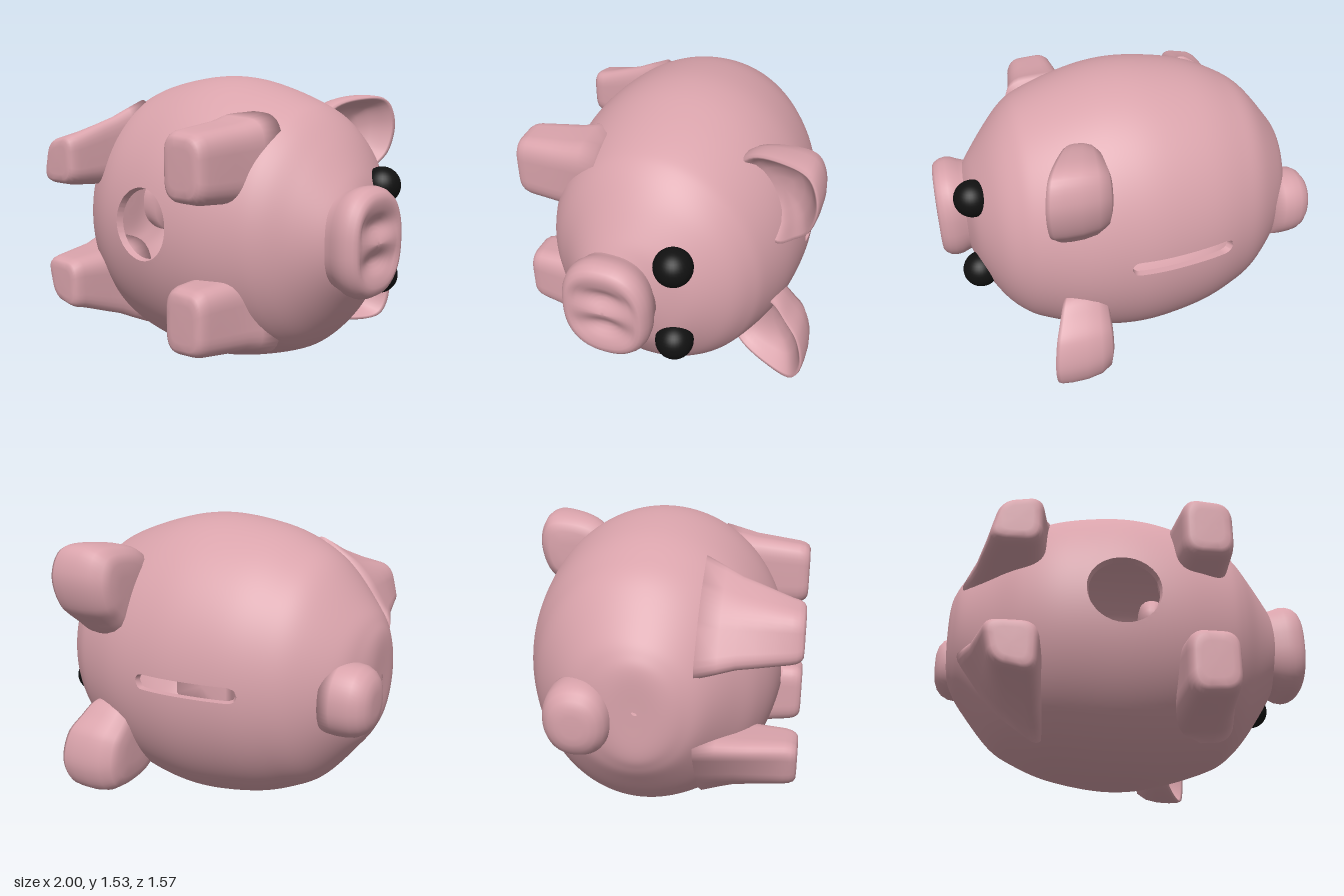
import * as THREE from 'three';
import { mergeVertices } from 'three/addons/utils/BufferGeometryUtils.js';

const V = (x, y, z) => new THREE.Vector3(x, y, z);
const MID = 0.77; // height of the mirror plane (the model lies with its belly to the front)
const pink = new THREE.MeshStandardMaterial({ color: 0xd9a3ab, side: THREE.DoubleSide });
const black = new THREE.MeshStandardMaterial({ color: 0x111111 });

function named(geometry, material, name) {
  const mesh = new THREE.Mesh(geometry, material);
  mesh.name = name;
  return mesh;
}

function fromTriangles(points) {
  const g = mergeVertices(new THREE.BufferGeometry().setFromPoints(points), 1e-5);
  g.computeVertexNormals();
  return g;
}

// Skin over a row of equal loops, both ends closed to their centres
function loft(rings) {
  const n = rings[0].length;
  const centre = (r) => {
    const c = r.reduce((s, p) => s.add(p), V(0, 0, 0)).divideScalar(n);
    return r.map(() => c);
  };
  const all = [centre(rings[0]), ...rings, centre(rings[rings.length - 1])];
  const tris = [];
  for (let i = 0; i < all.length - 1; i++) {
    for (let j = 0; j < n; j++) {
      const k = (j + 1) % n;
      const a = all[i][j], b = all[i][k], c = all[i + 1][k], d = all[i + 1][j];
      if (a !== b) tris.push(a, b, c);
      if (c !== d) tris.push(a, c, d);
    }
  }
  return fromTriangles(tris);
}

// Superellipse loop across x
function oval(x, cy, cz, ry, rz, power = 2, n = 48) {
  return Array.from({ length: n }, (_, j) => {
    const a = (j / n) * Math.PI * 2, c = Math.cos(a), s = Math.sin(a);
    return V(x, cy + ry * Math.sign(c) * Math.abs(c) ** (2 / power),
      cz + rz * Math.sign(s) * Math.abs(s) ** (2 / power));
  });
}

// Signed distance to the openings: round plug hole in the belly, coin slot in the back
function opening(p) {
  if (p.z > 0) return Math.hypot(p.x + 0.04, p.y - 0.81) - 0.185;
  const x = THREE.MathUtils.clamp(p.x, -0.41, 0.06);
  return Math.hypot(p.x - x, p.y - MID) - 0.04;
}

function makeBody() {
  // x, half width in y, z of the back, z of the belly
  const stations = [
    [-0.912, 0.02, 0.02, 0.06], [-0.91, 0.2, -0.1, 0.18], [-0.88, 0.29, -0.21, 0.27],
    [-0.82, 0.38, -0.33, 0.36], [-0.67, 0.56, -0.48, 0.48], [-0.53, 0.65, -0.56, 0.58],
    [-0.35, 0.72, -0.625, 0.65], [-0.1, 0.763, -0.667, 0.68], [0.1, 0.76, -0.667, 0.68],
    [0.3, 0.715, -0.64, 0.65], [0.5, 0.645, -0.575, 0.58], [0.6, 0.585, -0.525, 0.52],
    [0.7, 0.475, -0.44, 0.42], [0.8, 0.32, -0.28, 0.32], [0.85, 0.22, -0.12, 0.26],
  ];
  const widths = new THREE.CatmullRomCurve3(stations.map((s) => V(s[0], s[1], 0)), false, 'catmullrom');
  const depths = new THREE.CatmullRomCurve3(stations.map((s) => V(s[0], s[2], s[3])), false, 'catmullrom');
  const U = 98, N = 176, rings = [];
  for (let i = 0; i <= U; i++) {
    const w = widths.getPoint(i / U), d = depths.getPoint(i / U);
    rings.push(oval(w.x, MID, (d.y + d.z) / 2, w.y, (d.z - d.y) / 2, 2, N));
  }
  const skin = [], rim = [];
  const inward = (p) => p.clone().sub(V(0, MID, 0)).multiplyScalar(0.95).add(V(0, MID, 0));

  // Clip each triangle against the openings and wall the cut edge
  const addClipped = (tri) => {
    const keep = [], cut = [];
    tri.forEach((p, i) => {
      const q = tri[(i + 1) % 3], fp = opening(p), fq = opening(q);
      if (fp >= 0) keep.push(p);
      if ((fp >= 0) !== (fq >= 0)) {
        const m = p.clone().lerp(q, fp / (fp - fq));
        keep.push(m);
        cut.push(m);
      }
    });
    for (let i = 2; i < keep.length; i++) skin.push(keep[0], keep[i - 1], keep[i]);
    if (cut.length === 2) {
      const [a, b] = cut, c = inward(b), d = inward(a);
      // walk the cut in the same direction whichever corner comes first
      if (opening(tri[0]) >= 0) rim.push(b, a, d, b, d, c);
      else rim.push(a, b, c, a, c, d);
    }
  };
  for (let i = 0; i < U; i++) {
    for (let j = 0; j < N; j++) {
      const k = (j + 1) % N;
      addClipped([rings[i][j], rings[i][k], rings[i + 1][k]]);
      addClipped([rings[i][j], rings[i + 1][k], rings[i + 1][j]]);
    }
  }
  const body = new THREE.Group();
  body.name = 'body';
  const outer = fromTriangles(skin);
  const inner = named(outer, pink, 'innerShell');
  inner.scale.setScalar(0.95);
  inner.position.y = MID * 0.05;
  body.add(named(outer, pink, 'outerShell'), inner, named(fromTriangles(rim), pink, 'openingRims'));
  return body;
}

// Four corners joined into a loop with rounded corners
function roundedLoop(corners, z, inset) {
  const pts = corners.map(([x, y]) => V(x, y, z));
  const c = pts.reduce((s, p) => s.add(p), V(0, 0, 0)).divideScalar(4);
  pts.forEach((p) => p.lerp(c, inset));
  return pts.flatMap((p, i) => {
    const a = p.clone().lerp(pts[(i + 3) % 4], 0.32), b = p.clone().lerp(pts[(i + 1) % 4], 0.32);
    return new THREE.QuadraticBezierCurve3(a, p, b).getPoints(7);
  });
}

// Leg from a wide root to a narrower foot, edges of the foot rounded over
function makeLeg(root, foot, name) {
  const rows = [[0.3, 0, -0.12], [0.4, 0.2, -0.05], [0.48, 0.4, 0], [0.57, 0.62, 0], [0.66, 0.85, 0],
    [0.72, 1, 0], [0.75, 1, 0.05], [0.77, 1, 0.13], [0.78, 1, 0.24], [0.782, 1, 0.45]];
  return named(loft(rows.map(([z, t, inset]) => roundedLoop(
    root.map(([x, y], i) => [x + (foot[i][0] - x) * t, y + (foot[i][1] - y) * t]), z, inset))), pink, name);
}

// Cupped ear: convex back, rolled rim, hollow front
function makeEar() {
  const outline = [[-0.3, 1.2], [-0.42, 1.02], [-0.58, 0.95], [-0.68, 1.03], [-0.75, 1.11],
    [-0.785, 1.28], [-0.73, 1.41], [-0.58, 1.425], [-0.4, 1.37]];
  const loop = new THREE.CatmullRomCurve3(outline.map(([z, y]) => V(0, y, z)), true).getPoints(56).slice(0, -1);
  const rows = [[0.3, 0], [0.6, 0.01], [0.8, 0.07], [0.93, 0.25], [0.99, 0.5], [1, 0.75], [0.985, 0.93],
    [0.95, 1], [0.9, 0.97], [0.82, 0.82], [0.7, 0.64], [0.5, 0.5], [0.25, 0.44]];
  return named(loft(rows.map(([s, t]) => loop.map((p) => {
    const y = 1.2 + (p.y - 1.2) * s, z = -0.57 + (p.z + 0.57) * s;
    const front = 0.34 + (-z - 0.38) * 0.46;
    return V(0.2 + (front - 0.2) * t, y, z);
  }))), pink, 'ear');
}

// Snout with a dished face and two nostril dents
function makeSnout() {
  const rows = [[0.74, 0.84], [0.82, 0.9], [0.86, 0.95], [0.89, 1], [0.925, 1.015], [0.955, 0.99],
    [0.98, 0.93], [0.992, 0.86], [0.995, 0.78]];
  for (let s = 0.7; s > 0.05; s -= 0.08) rows.push([0.993, s]);
  return named(loft(rows.map(([x, s]) => {
    const ring = oval(x, MID, 0.095, 0.265 * s, 0.222 * s, 2.4, 56);
    if (s < 0.75 && x > 0.9) {
      ring.forEach((p) => {
        const dy = (Math.abs(p.y - MID) - 0.085) / 0.055, dz = (p.z - 0.095) / 0.12;
        p.x -= 0.045 * Math.exp(-dy * dy - dz * dz);
      });
    }
    return ring;
  })), pink, 'snout');
}

// Stubby rounded tail
function makeTail() {
  const rows = [[-1, 0.3], [-0.997, 0.5], [-0.985, 0.7], [-0.96, 0.87], [-0.925, 0.98], [-0.88, 1.02],
    [-0.83, 1.03], [-0.77, 1]];
  return named(loft(rows.map(([x, s]) =>
    oval(x, 0.73, -0.225 - (x + 1) * 0.05, 0.178 * s, 0.162 * s, 2.2))), pink, 'tail');
}

// Parts that come in pairs
function makeSide(name) {
  const side = new THREE.Group();
  side.name = name;
  side.add(makeLeg(
    [[0.21, 0.94], [0.53, 0.94], [0.55, 1.34], [0.21, 1.36]],
    [[0.24, 0.965], [0.5, 0.965], [0.5, 1.29], [0.24, 1.31]], 'frontLeg'));
  side.add(makeLeg(
    [[-0.86, 0.94], [-0.4, 0.94], [-0.4, 1.42], [-0.65, 1.24]],
    [[-0.72, 0.97], [-0.44, 0.97], [-0.44, 1.25], [-0.66, 1.21]], 'rearLeg'));
  side.add(makeEar());
  const eye = named(new THREE.SphereGeometry(0.095, 32, 20), black, 'eye');
  eye.position.set(0.81, 1.0, -0.195);
  side.add(eye);
  return side;
}

export function createModel() {
  const model = new THREE.Group();
  model.name = 'piggyBank';
  const upper = makeSide('upperSide');
  const lower = makeSide('lowerSide');
  lower.scale.y = -1;
  lower.position.y = 2 * MID;
  model.add(makeBody(), makeSnout(), makeTail(), upper, lower);
  return model;
}
